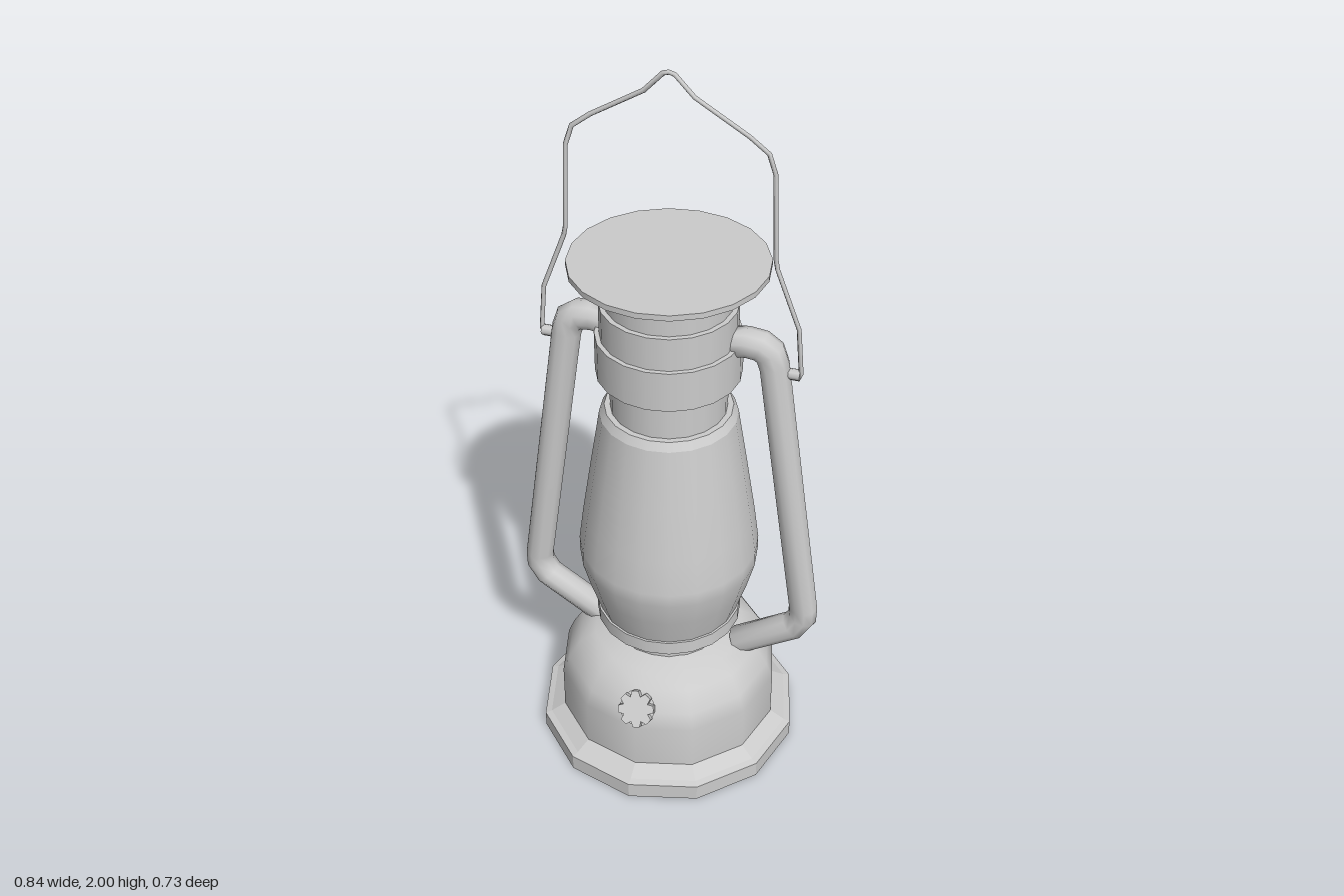
import * as THREE from 'three';
import { mergeGeometries } from 'three/addons/utils/BufferGeometryUtils.js';

const smooth = new THREE.MeshStandardMaterial({ color: 0xcccccc, side: THREE.DoubleSide });
const flat = new THREE.MeshStandardMaterial({ color: 0xcccccc, side: THREE.DoubleSide, flatShading: true });

function add(parent, name, geometry, material = smooth) {
  const mesh = new THREE.Mesh(geometry, material);
  mesh.name = name;
  parent.add(mesh);
  return mesh;
}

// Turned part: each band is smooth inside, with a sharp edge between bands.
function turned(sides, ...bands) {
  return mergeGeometries(bands.map((band) =>
    new THREE.LatheGeometry(band.map(([r, y]) => new THREE.Vector2(r, y)), sides)));
}

// Closed drum from y0 to y1.
function drum(sides, r, y0, y1) {
  return turned(sides, [[0, y0], [r, y0]], [[r, y0], [r, y1]], [[r, y1], [0, y1]]);
}

// Round rod along a path in the xy plane, with mitred bends and capped ends.
function rod(path, radius, sides) {
  const pts = path.map(([x, y]) => new THREE.Vector2(x, y));
  const pos = [], idx = [];
  pts.forEach((p, i) => {
    const a = pts[Math.max(i - 1, 0)], b = pts[Math.min(i + 1, pts.length - 1)];
    const d0 = (i ? p.clone().sub(a) : b.clone().sub(p)).normalize();
    const d1 = (i < pts.length - 1 ? b.clone().sub(p) : d0.clone()).normalize();
    const t = d0.clone().add(d1).normalize();
    const mitre = radius / t.dot(d0);
    for (let j = 0; j < sides; j++) {
      const q = (j / sides) * Math.PI * 2;
      const n = Math.cos(q) * mitre;
      pos.push(p.x - t.y * n, p.y + t.x * n, Math.sin(q) * radius);
    }
  });
  for (let i = 0; i < pts.length - 1; i++) {
    for (let j = 0; j < sides; j++) {
      const a = i * sides + j, b = i * sides + (j + 1) % sides;
      idx.push(a, b, a + sides, b, b + sides, a + sides);
    }
  }
  const last = (pts.length - 1) * sides;
  for (let j = 1; j < sides - 1; j++) {
    idx.push(0, j + 1, j, last, last + j, last + j + 1);
  }
  const g = new THREE.BufferGeometry();
  g.setAttribute('position', new THREE.Float32BufferAttribute(pos, 3));
  g.setIndex(idx);
  g.computeVertexNormals();
  return g;
}

export function createModel() {
  const lantern = new THREE.Group();
  lantern.name = 'lantern';

  // Foot and fuel tank
  add(lantern, 'foot', turned(12,
    [[0, 0], [0.363, 0]],
    [[0.363, 0], [0.363, 0.047]],
    [[0.363, 0.047], [0.345, 0.052], [0.3, 0.078]]), flat);
  add(lantern, 'tank', turned(12,
    [[0.305, 0.06], [0.305, 0.21], [0.287, 0.255], [0.254, 0.31], [0.21, 0.333], [0.155, 0.35]],
    [[0.155, 0.35], [0, 0.35]]));

  // Burner below the glass
  add(lantern, 'burnerNeck', drum(20, 0.155, 0.33, 0.41));
  add(lantern, 'burnerRing', drum(20, 0.198, 0.4, 0.44));

  // Glass globe
  add(lantern, 'globe', turned(20,
    [[0.192, 0.44], [0.22, 0.53], [0.241, 0.61], [0.241, 0.65], [0.228, 0.75], [0.205, 0.9], [0.178, 1.07]],
    [[0.178, 1.07], [0.165, 1.092]],
    [[0.165, 1.092], [0, 1.092]]));

  // Chimney rings and cap
  add(lantern, 'chimneyNeck', drum(20, 0.15, 1.08, 1.21));
  add(lantern, 'chimneyLowerRing', drum(20, 0.185, 1.2, 1.31));
  add(lantern, 'chimneyUpperRing', drum(20, 0.173, 1.31, 1.4));
  add(lantern, 'chimneyTop', drum(20, 0.16, 1.4, 1.505));
  add(lantern, 'cap', drum(20, 0.248, 1.5, 1.515));

  // Side tubes with the pins that hold the bail
  const tubePath = [
    [0.15, 1.312], [0.2, 1.32], [0.235, 1.316], [0.258, 1.3], [0.27, 1.265],
    [0.38, 0.5], [0.379, 0.465], [0.356, 0.425], [0.2, 0.325],
  ];
  for (const side of ['left', 'right']) {
    const arm = new THREE.Group();
    arm.name = side + 'Arm';
    add(arm, 'sideTube', rod(tubePath, 0.039, 10));
    const pin = add(arm, 'bailPin', new THREE.CylinderGeometry(0.014, 0.014, 0.065, 8));
    pin.rotation.z = Math.PI / 2;
    pin.position.set(0.303, 1.25, 0);
    if (side === 'right') arm.rotation.y = Math.PI;
    lantern.add(arm);
  }

  // Wire bail
  const half = [
    [0.3, 1.238], [0.33, 1.238], [0.337, 1.255], [0.326, 1.38], [0.267, 1.535], [0.262, 1.56],
    [0.253, 1.78], [0.236, 1.83], [0.19, 1.865], [0.06, 1.942], [0.014, 1.99],
  ];
  const bail = [...half, [0, 1.994], ...half.map(([x, y]) => [-x, y]).reverse()];
  add(lantern, 'bail', rod(bail, 0.006, 6));

  // Notched filler cap on the front of the tank
  const filler = new THREE.Group();
  filler.name = 'fillerCap';
  filler.position.set(0, 0.268, 0.283);
  filler.rotation.x = -0.56;
  const outline = [];
  for (let i = 0; i < 32; i++) {
    const r = i % 4 < 3 ? 0.05 : 0.036;
    const a = (i / 32) * Math.PI * 2;
    outline.push(new THREE.Vector2(Math.cos(a) * r, Math.sin(a) * r));
  }
  const grip = new THREE.ExtrudeGeometry(new THREE.Shape(outline), { depth: 0.018, bevelEnabled: false });
  add(filler, 'fillerGrip', grip, flat).position.z = -0.004;
  const flange = add(filler, 'fillerFlange', new THREE.CylinderGeometry(0.05, 0.044, 0.014, 12), flat);
  flange.rotation.x = Math.PI / 2;
  flange.position.z = -0.011;
  const stem = add(filler, 'fillerStem', new THREE.CylinderGeometry(0.035, 0.035, 0.03, 12), flat);
  stem.rotation.x = Math.PI / 2;
  stem.position.z = -0.025;
  lantern.add(filler);

  return lantern;
}
